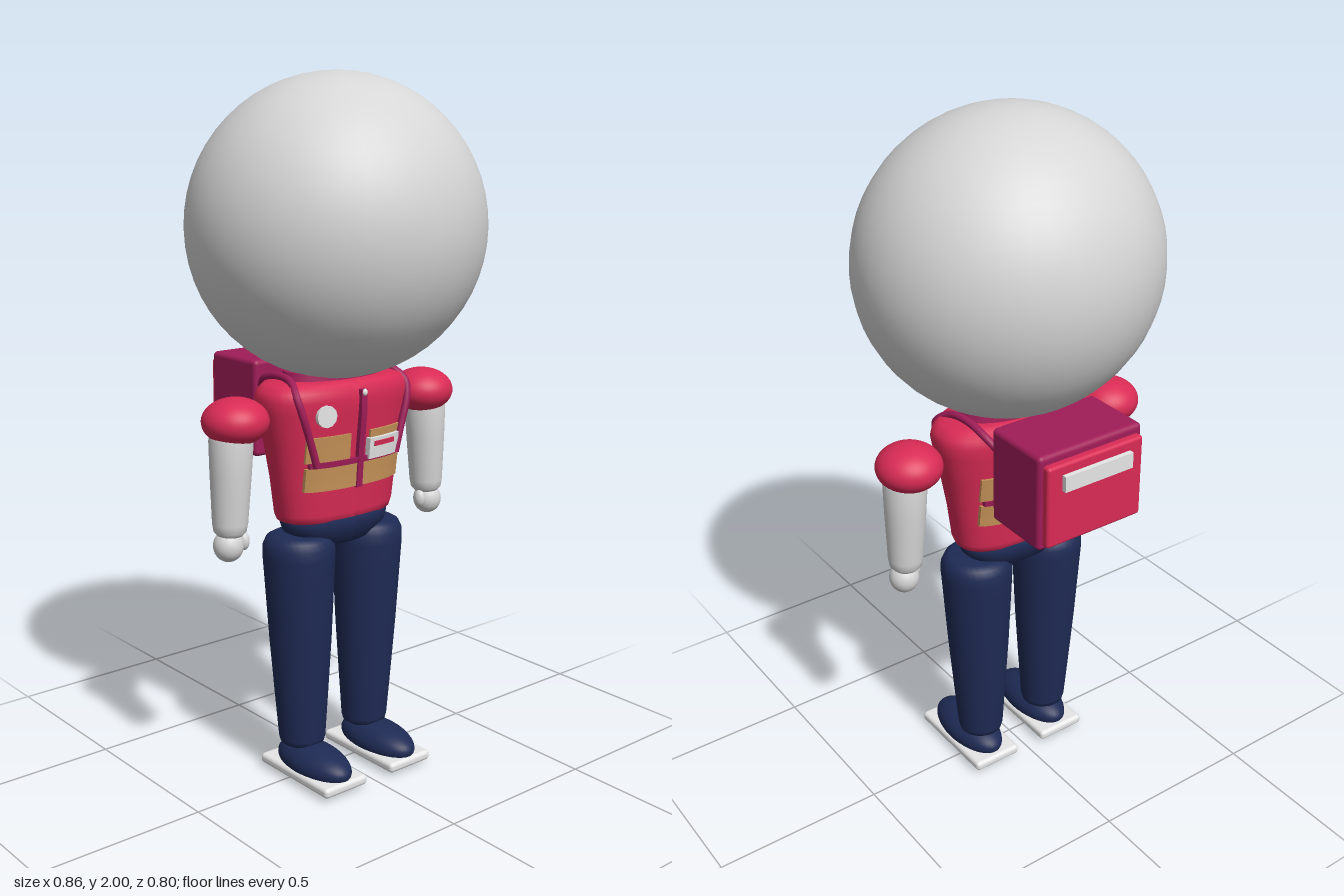
import * as THREE from 'three';
import { RoundedBoxGeometry } from 'three/addons/geometries/RoundedBoxGeometry.js';

const mat = (name, color) => new THREE.MeshStandardMaterial({ name, color });
const CZ = -0.015; // depth centre of the body
const POWER = 2.5; // squareness of the torso section
const RATIO = 0.5; // torso depth / width

// torso profile: half width, height
const TORSO = [[0, 0.765], [0.16, 0.766], [0.185, 0.775], [0.193, 0.795], [0.206, 0.9], [0.224, 1.0],
  [0.244, 1.09], [0.25, 1.125], [0.243, 1.15], [0.222, 1.167], [0.18, 1.175], [0, 1.177]];

function torsoWidth(y) {
  for (let i = 1; i < TORSO.length; i++) {
    const [w0, y0] = TORSO[i - 1], [w1, y1] = TORSO[i];
    if (y <= y1) return w0 + (w1 - w0) * (y - y0) / (y1 - y0);
  }
  return 0;
}
function torsoDepth(x, y) {
  const w = torsoWidth(y);
  return RATIO * w * Math.pow(Math.max(0, 1 - Math.pow(Math.abs(x) / w, POWER)), 1 / POWER);
}

// lathe squeezed into a rounded-rectangle section
function squareLathe(profile, ratio, power) {
  const geo = new THREE.LatheGeometry(profile.map(p => new THREE.Vector2(...p)), 48);
  const p = geo.attributes.position;
  for (let i = 0; i < p.count; i++) {
    const x = p.getX(i), z = p.getZ(i), r = Math.hypot(x, z);
    if (r < 1e-6) continue;
    const k = Math.pow(Math.pow(Math.abs(x / r), power) + Math.pow(Math.abs(z / r), power), -1 / power);
    p.setX(i, x * k);
    p.setZ(i, z * k * ratio);
  }
  geo.computeVertexNormals();
  return geo;
}

// plate bent to follow the torso; dir 1 = chest, -1 = back
function panelGeometry(x0, x1, y0, y1, lift, dir = 1) {
  const geo = new THREE.BoxGeometry(x1 - x0, y1 - y0, 1, 14, 5, 1);
  geo.translate((x0 + x1) / 2, (y0 + y1) / 2, 0);
  const p = geo.attributes.position;
  for (let i = 0; i < p.count; i++) {
    const outer = p.getZ(i) * dir > 0;
    p.setZ(i, CZ + dir * (torsoDepth(p.getX(i), p.getY(i)) + (outer ? lift : -0.015)));
  }
  geo.computeVertexNormals();
  return geo;
}

export function createModel() {
  const model = new THREE.Group();
  model.name = 'courier';
  const pale = mat('pale grey', 0xd6d6d6);
  const white = mat('white', 0xe6e6e6);
  const red = mat('crimson', 0xd92b55);
  const magenta = mat('magenta', 0xa01d58);
  const navy = mat('navy', 0x1f2b55);
  const tan = mat('tan', 0xc8945a);

  const add = (name, geo, material, x = 0, y = 0, z = 0, parent = model) => {
    const m = new THREE.Mesh(geo, material);
    m.name = name;
    m.position.set(x, y, z);
    parent.add(m);
    return m;
  };
  const ellipsoid = (name, rx, ry, rz, material, x, y, z, parent) => {
    const geo = new THREE.SphereGeometry(1, 40, 28).scale(rx, ry, rz);
    return add(name, geo, material, x, y, z, parent);
  };
  const lathe = (points) => new THREE.LatheGeometry(points.map(p => new THREE.Vector2(...p)), 32);

  // head and collar
  ellipsoid('head', 0.425, 0.415, 0.4, pale, 0, 1.585, 0);
  const collar = new THREE.CylinderGeometry(0.165, 0.175, 0.045, 40).scale(1, 1, 0.53);
  add('collar', collar, magenta, 0, 1.175, CZ);

  // torso and hips
  add('torso', squareLathe(TORSO, RATIO, POWER), red, 0, 0, CZ);
  const hips = squareLathe([[0, 0.692], [0.1, 0.693], [0.135, 0.705], [0.165, 0.74], [0.173, 0.765], [0.165, 0.778], [0, 0.78]], 0.58, 2.4);
  add('hips', hips, navy, 0, 0, CZ);

  // vest pockets and belts, chest and back
  for (const dir of [1, -1]) {
    const vest = new THREE.Group();
    vest.name = dir > 0 ? 'frontPockets' : 'backPockets';
    model.add(vest);
    add('lowerPocket', panelGeometry(-0.168, 0.168, 0.872, 0.94, 0.01, dir), tan, 0, 0, 0, vest);
    for (const s of [1, -1]) {
      const [a, b] = s > 0 ? [0.035, 0.17] : [-0.17, -0.035];
      add('upperPocket', panelGeometry(a, b, 0.955, 1.028, 0.007, dir), tan, 0, 0, 0, vest);
    }
    add('chestBelt', panelGeometry(-0.16, 0.16, 0.94, 0.956, 0.011, dir), magenta, 0, 0, 0, vest);
  }

  // zip with pull
  add('zip', panelGeometry(-0.01, 0.01, 0.868, 1.15, 0.014), magenta);
  ellipsoid('zipPull', 0.008, 0.01, 0.006, white, 0, 1.142, CZ + torsoDepth(0, 1.142) + 0.014);

  // name badge and round badge
  add('nameBadge', panelGeometry(0.026, 0.148, 0.946, 1.006, 0.018), white);
  add('nameBadgeStripe', panelGeometry(0.042, 0.122, 0.982, 0.996, 0.021), red);
  const badge = new THREE.CylinderGeometry(0.031, 0.031, 0.02, 12).rotateX(Math.PI / 2);
  add('roundBadge', badge, white, -0.12, 1.087, CZ + torsoDepth(0.12, 1.087)).rotation.y = -0.15;

  for (const s of [1, -1]) {
    const side = s > 0 ? 'left' : 'right';

    // shoulder strap running over to the bag
    const path = [[0.143, 0.945, 0.088], [0.165, 1.02, 0.087], [0.19, 1.1, 0.083], [0.197, 1.145, 0.068],
      [0.18, 1.178, 0.02], [0.172, 1.184, -0.05], [0.165, 1.165, -0.12], [0.14, 1.12, -0.17]];
    const curve = new THREE.CatmullRomCurve3(path.map(([x, y, z]) => new THREE.Vector3(x * s, y, z)));
    add(side + 'Strap', new THREE.TubeGeometry(curve, 40, 0.011, 10), magenta);

    // arm
    const arm = new THREE.Group();
    arm.name = side + 'Arm';
    model.add(arm);
    ellipsoid('sleeve', 0.092, 0.065, 0.093, red, s * 0.34, 1.086, CZ, arm);
    const forearm = lathe([[0, -0.155], [0.035, -0.153], [0.045, -0.142], [0.049, -0.12], [0.057, 0.02], [0.061, 0.11], [0.05, 0.15], [0, 0.155]]);
    add('forearm', forearm, pale, s * 0.359, 0.926, CZ, arm).rotation.z = s * 0.035;
    ellipsoid('hand', 0.042, 0.045, 0.042, pale, s * 0.37, 0.744, CZ, arm);
    ellipsoid('thumb', 0.016, 0.026, 0.018, pale, s * 0.328, 0.752, CZ + 0.012, arm);

    // leg
    const leg = new THREE.Group();
    leg.name = side + 'Leg';
    model.add(leg);
    const trouser = lathe([[0, 0.09], [0.05, 0.091], [0.064, 0.1], [0.068, 0.115], [0.078, 0.25], [0.09, 0.42], [0.1, 0.6],
      [0.104, 0.67], [0.103, 0.7], [0.093, 0.722], [0.075, 0.732], [0, 0.735]]);
    const p = trouser.attributes.position;
    for (let i = 0; i < p.count; i++) p.setX(i, p.getX(i) + s * 0.008 * (p.getY(i) - 0.1) / 0.6);
    add('trouserLeg', trouser, navy, s * 0.119, 0, CZ, leg);
    ellipsoid('shoe', 0.073, 0.053, 0.145, navy, s * 0.122, 0.053, 0.045, leg);
    add('sole', new RoundedBoxGeometry(0.155, 0.03, 0.31, 4, 0.012), white, s * 0.122, 0.026, 0.04, leg);
  }

  // delivery bag
  const bag = new THREE.Group();
  bag.name = 'deliveryBag';
  model.add(bag);
  add('bagBody', new RoundedBoxGeometry(0.34, 0.28, 0.21, 4, 0.014), magenta, 0, 1.07, -0.26, bag);
  add('bagFlap', new RoundedBoxGeometry(0.314, 0.24, 0.04, 4, 0.01), red, 0, 1.065, -0.367, bag);
  add('reflectiveStrip', new THREE.BoxGeometry(0.224, 0.046, 0.016), white, 0, 1.132, -0.393, bag);

  return model;
}
